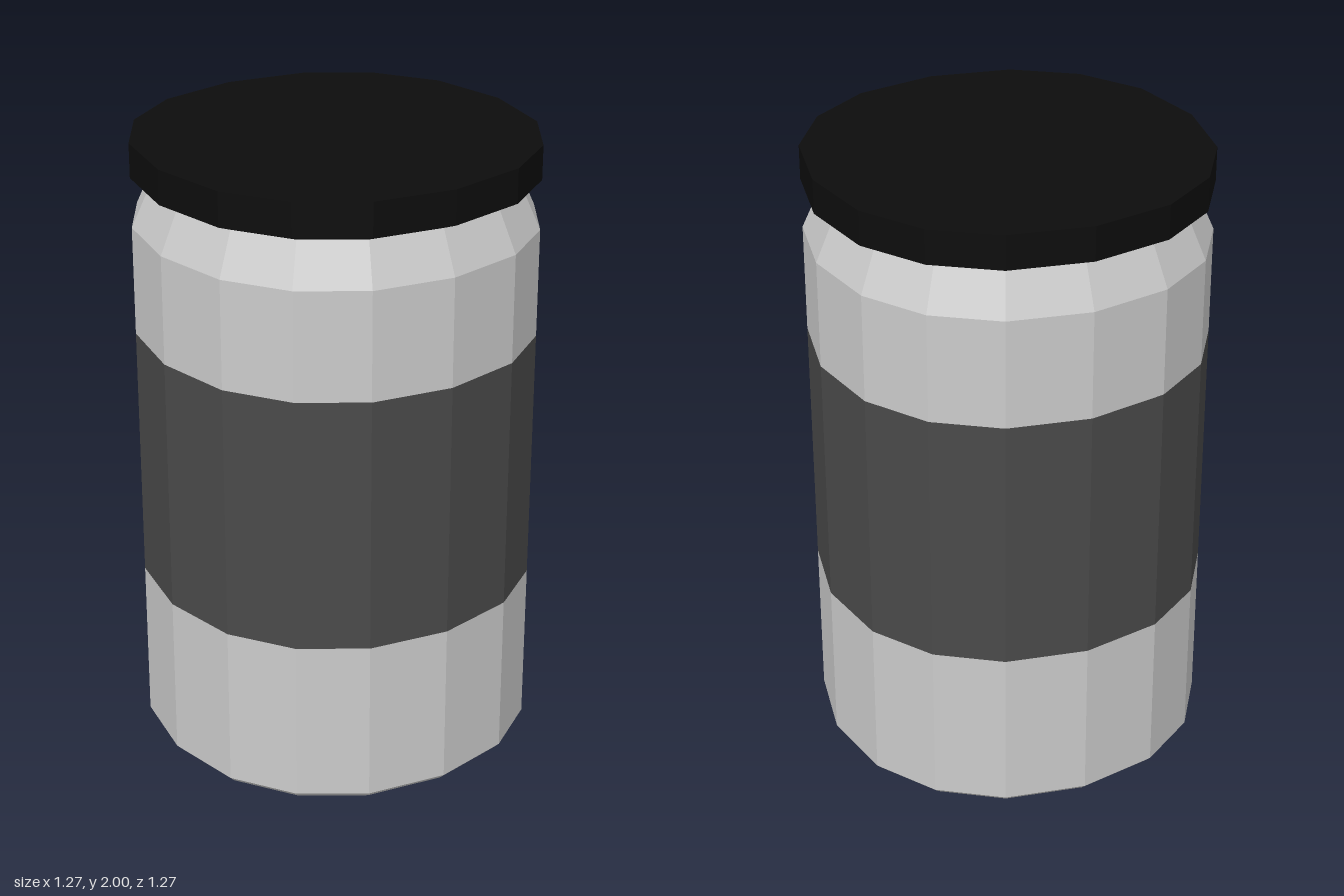
import * as THREE from 'three';

const SIDES = 16;
const RADIUS = 0.635;

// Ring corners of one quarter: [turn in degrees, radius factor]; slightly uneven facets
const QUARTER = [[0, 1], [20.9, 0.993], [45, 0.98], [69.1, 0.993]];

// Revolves a [radius, height] profile (bottom to top) around the faceted ring
function ringSolid(name, profile, color) {
  const points = profile.map(([r, y]) => new THREE.Vector2(r, y));
  const lathe = new THREE.LatheGeometry(points, SIDES);
  const pos = lathe.attributes.position;
  for (let i = 0; i <= SIDES; i++) {
    const [degrees, factor] = QUARTER[i % 4];
    const angle = THREE.MathUtils.degToRad(Math.floor(i / 4) * 90 + degrees);
    points.forEach((p, j) => {
      const r = p.x * factor;
      pos.setXYZ(i * points.length + j, Math.sin(angle) * r, p.y, Math.cos(angle) * r);
    });
  }
  const geometry = lathe.toNonIndexed();
  geometry.computeVertexNormals();
  const material = new THREE.MeshStandardMaterial({ color, flatShading: true, side: THREE.DoubleSide });
  const mesh = new THREE.Mesh(geometry, material);
  mesh.name = name;
  return mesh;
}

export function createModel() {
  const jar = new THREE.Group();
  jar.name = 'jar';

  // Closed base with a small bevel
  jar.add(ringSolid('lowerBody', [[0, 0], [0.615, 0], [RADIUS, 0.02], [RADIUS, 0.55]], 0xcccccc));

  // Dark band flush with the glass
  jar.add(ringSolid('label', [[RADIUS, 0.55], [RADIUS, 1.38]], 0x4a4a4a));

  // Upper wall and sloping shoulder, running up under the lid
  jar.add(ringSolid('upperBody', [[RADIUS, 1.38], [RADIUS, 1.73], [0.572, 1.87]], 0xcccccc));

  // Lid with a chamfered lower rim
  jar.add(ringSolid('lid', [[0.568, 1.862], [RADIUS, 1.89], [RADIUS, 2], [0, 2]], 0x0d0d0d));

  return jar;
}
